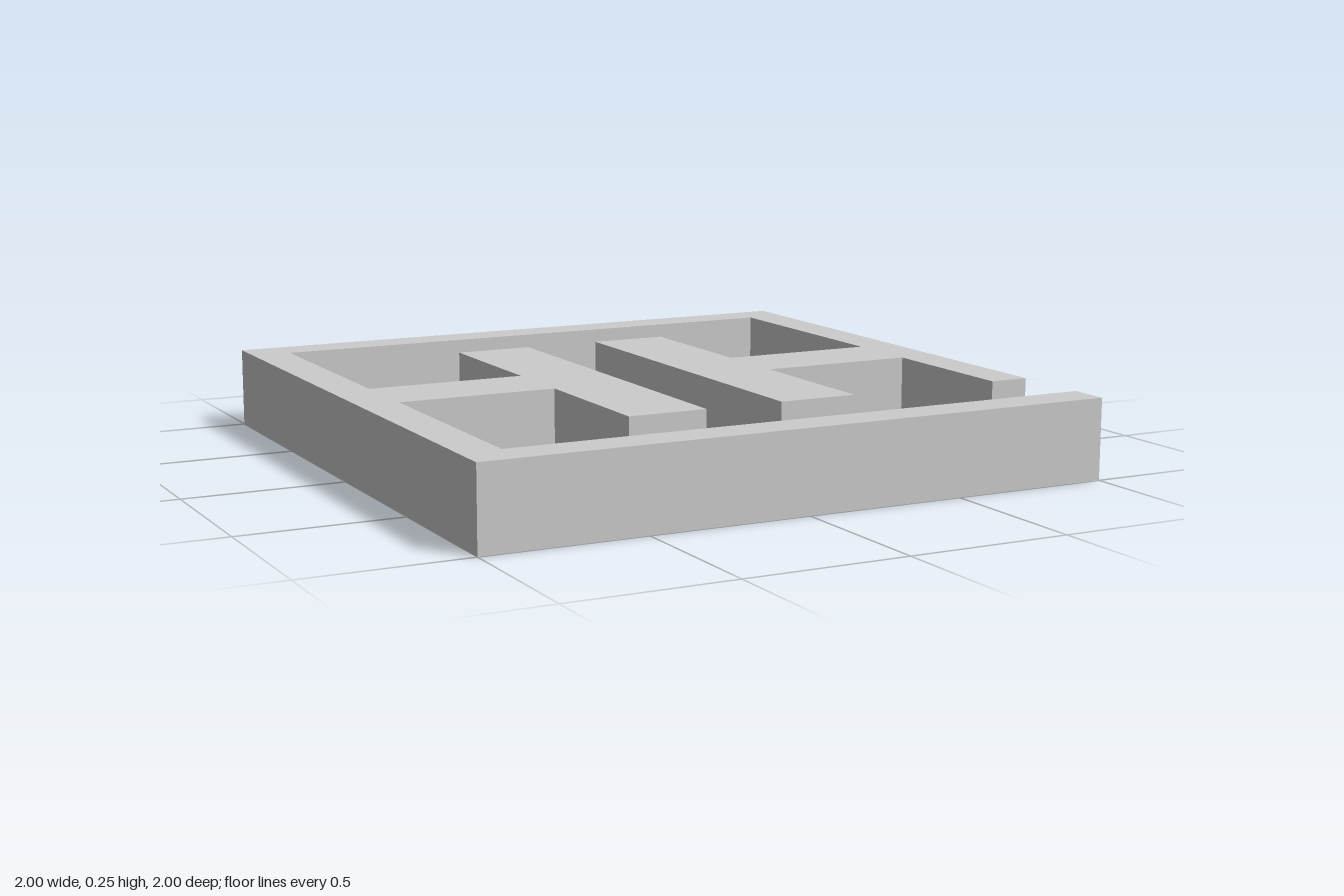
import * as THREE from 'three';

const HEIGHT = 0.25;

// Corridor outline as [x, z], from one doorpost round to the other
const corridor = [
  [1, 0.625], [0.875, 0.625], [0.875, 0.125], [0.375, 0.125], [0.375, 0.625], [0.125, 0.625],
  [0.125, -0.625], [0.375, -0.625], [0.375, -0.125], [0.875, -0.125], [0.875, -0.875],
  [-0.875, -0.875], [-0.875, -0.125], [-0.375, -0.125], [-0.375, -0.625], [-0.125, -0.625],
  [-0.125, 0.625], [-0.375, 0.625], [-0.375, 0.125], [-0.875, 0.125], [-0.875, 0.875], [1, 0.875],
];

// The walls fill the rest of the square
const walls = [...corridor, [1, 1], [-1, 1], [-1, -1], [1, -1]];

// Flat, upward-facing sheet at height y
function sheet(outline, y) {
  const shape = new THREE.Shape(outline.map(([x, z]) => new THREE.Vector2(x, -z)));
  return new THREE.ShapeGeometry(shape).rotateX(-Math.PI / 2).translate(0, y, 0);
}

// Upright faces along a closed outline, facing away from the walls' inside
function uprights(outline, h) {
  const pos = [];
  outline.forEach(([ax, az], i) => {
    const [bx, bz] = outline[(i + 1) % outline.length];
    pos.push(bx, 0, bz, ax, 0, az, ax, h, az);
    pos.push(bx, 0, bz, ax, h, az, bx, h, bz);
  });
  const geometry = new THREE.BufferGeometry();
  geometry.setAttribute('position', new THREE.Float32BufferAttribute(pos, 3));
  geometry.computeVertexNormals();
  return geometry;
}

export function createModel() {
  const group = new THREE.Group();
  group.name = 'maze';
  const material = new THREE.MeshStandardMaterial({
    color: 0xcccccc, flatShading: true, side: THREE.DoubleSide,
  });
  const add = (name, geometry) => {
    const mesh = new THREE.Mesh(geometry, material);
    mesh.name = name;
    group.add(mesh);
  };

  // Walls are hollow and open underneath; only the corridor has a floor
  add('corridorFloor', sheet(corridor, 0));
  add('wallTops', sheet(walls, HEIGHT));
  add('wallSides', uprights(walls, HEIGHT));
  return group;
}
